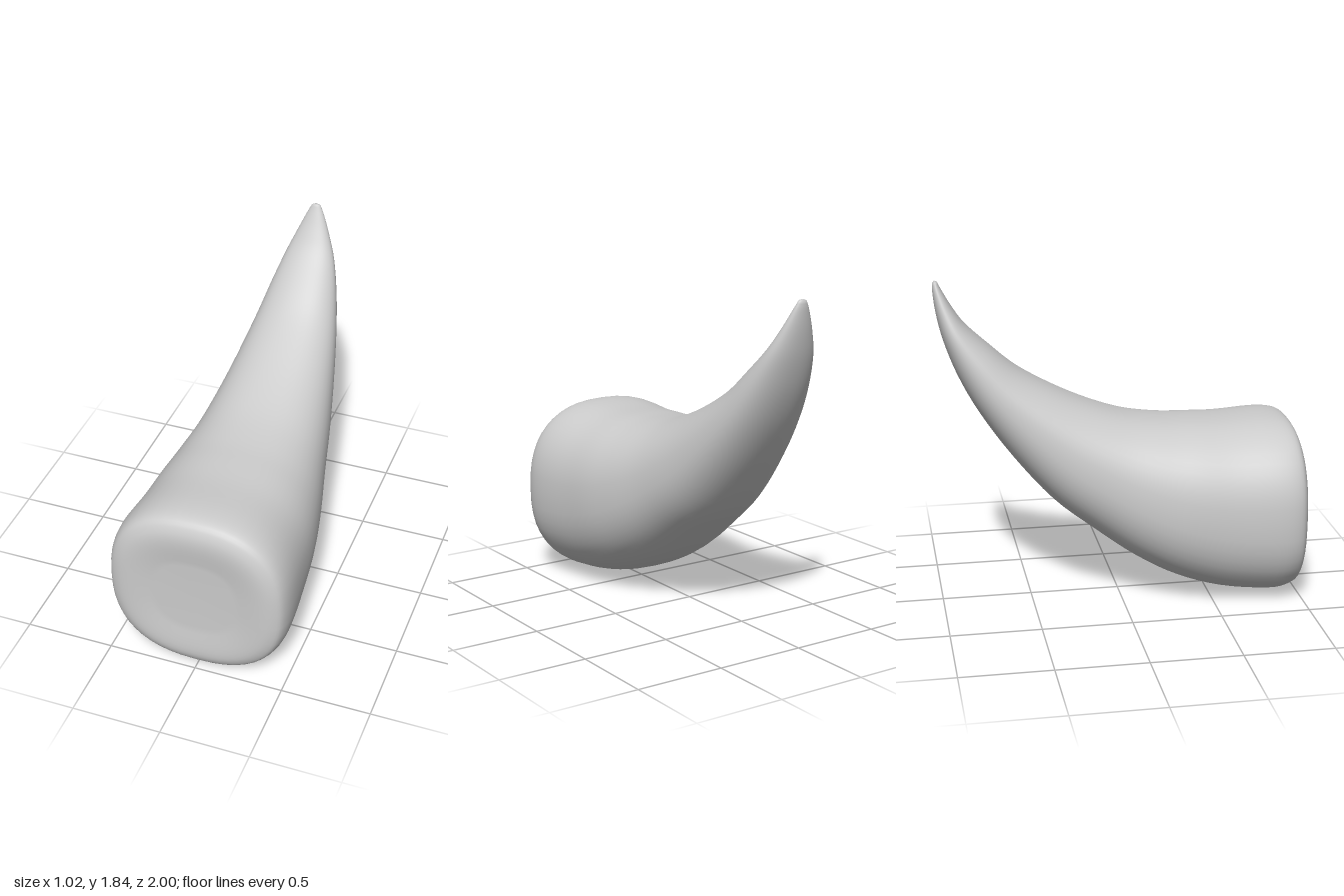
import * as THREE from 'three';

// Cross-sections from the blunt base to the tip:
// [top z, top y, bottom z, bottom y, half width]
const SECTIONS = [
  [0.985, 0.72, 0.985, 0.30, 0.22],
  [1.0, 0.87, 1.0, 0.14, 0.37],
  [0.985, 0.955, 0.985, 0.065, 0.45],
  [0.94, 1.005, 0.94, 0.025, 0.495],
  [0.82, 1.02, 0.82, 0.005, 0.51],
  [0.6, 1.01, 0.55, 0.038, 0.49],
  [0.42, 1.015, 0.3, 0.12, 0.47],
  [0.25, 1.025, 0.08, 0.24, 0.435],
  [0.05, 1.06, -0.15, 0.41, 0.385],
  [-0.15, 1.13, -0.38, 0.6, 0.34],
  [-0.35, 1.225, -0.6, 0.86, 0.29],
  [-0.55, 1.345, -0.77, 1.11, 0.24],
  [-0.7, 1.475, -0.88, 1.32, 0.195],
  [-0.83, 1.6, -0.95, 1.51, 0.145],
  [-0.9, 1.7, -0.985, 1.66, 0.095],
  [-0.95, 1.79, -1.0, 1.78, 0.05],
  [-0.975, 1.84, -1.0, 1.83, 0.025],
];
const SIDES = 48;
const RINGS = (SECTIONS.length - 1) * 4;

const signedPow = (v, p) => Math.sign(v) * Math.abs(v) ** p;

function hornGeometry() {
  // x carries the half width along the upper curve
  const top = new THREE.CatmullRomCurve3(
    SECTIONS.map(([z, y, , , w]) => new THREE.Vector3(w, y, z)), false, 'catmullrom');
  const bottom = new THREE.CatmullRomCurve3(
    SECTIONS.map(([, , z, y]) => new THREE.Vector3(0, y, z)), false, 'catmullrom');
  const positions = [];
  const index = [];

  for (let i = 0; i <= RINGS; i++) {
    const t = i / RINGS;
    const a = top.getPoint(t);
    const b = bottom.getPoint(t);
    // rounded-square section at the base, fading to an ellipse at the tip
    const power = 2 / THREE.MathUtils.lerp(2.55, 2, t);
    for (let j = 0; j < SIDES; j++) {
      const angle = (j / SIDES) * Math.PI * 2;
      const s = 0.5 + 0.5 * signedPow(Math.sin(angle), power);
      positions.push(
        a.x * signedPow(Math.cos(angle), power),
        THREE.MathUtils.lerp(b.y, a.y, s),
        THREE.MathUtils.lerp(b.z, a.z, s));
    }
  }
  // centres of the base and the tip
  const base = positions.length / 3;
  positions.push(0, 0.51, 0.985, 0, 1.845, -0.99);

  for (let j = 0; j < SIDES; j++) {
    const k = (j + 1) % SIDES;
    for (let i = 0; i < RINGS; i++) {
      const r = i * SIDES;
      const n = r + SIDES;
      index.push(r + j, n + j, r + k, r + k, n + j, n + k);
    }
    const last = RINGS * SIDES;
    index.push(base, j, k, base + 1, last + k, last + j);
  }

  const geometry = new THREE.BufferGeometry();
  geometry.setAttribute('position', new THREE.Float32BufferAttribute(positions, 3));
  geometry.setIndex(index);
  geometry.computeVertexNormals();
  return geometry;
}

export function createModel() {
  const group = new THREE.Group();
  group.name = 'curvedHorn';
  const horn = new THREE.Mesh(
    hornGeometry(), new THREE.MeshStandardMaterial({ color: 0xcccccc }));
  horn.name = 'horn';
  group.add(horn);
  return group;
}
